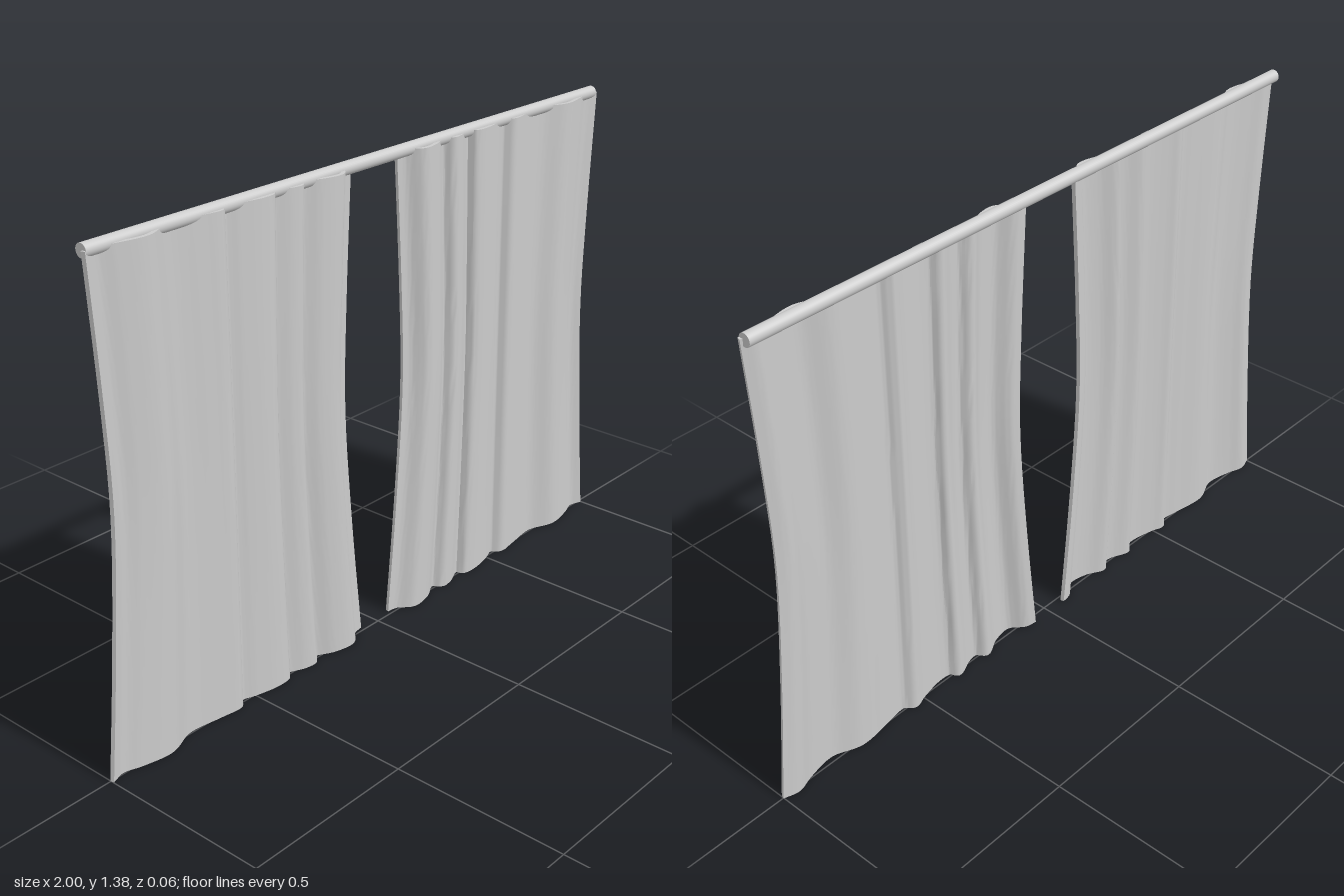
import * as THREE from 'three';
import { toCreasedNormals } from 'three/addons/utils/BufferGeometryUtils.js';

const HEIGHT = 1.36, THICK = 0.011, CENTRE = 0.53, SEGS = 140, ROWS = 20;

// Fold line of a panel along its top edge: x, z
const folds = new THREE.CatmullRomCurve3([
  [0.09, -0.018], [0.12, -0.012], [0.16, 0.021], [0.22, 0.013], [0.274, -0.013],
  [0.294, 0.011], [0.325, 0.009], [0.38, -0.012], [0.391, 0.009], [0.43, 0.014],
  [0.5, 0], [0.538, -0.012], [0.562, 0.010], [0.62, 0.004], [0.72, -0.008],
  [0.8, 0.021], [0.88, 0.008], [0.93, -0.008], [0.97, 0.004],
].map(([x, z]) => new THREE.Vector3(x, 0, z)), false, 'centripetal');

// Half width of a panel from hem to top: gathered in the middle
const waist = new THREE.SplineCurve([
  [0.47, 0], [0.434, 0.36], [0.411, 0.7], [0.419, 1.0], [0.44, HEIGHT],
].map(([w, y]) => new THREE.Vector2(w, y)));

function curtainGeometry(side) {
  // Closed outline: along the front face, back along the rear face
  const front = [], back = [];
  for (let i = 0; i <= SEGS; i++) {
    const p = folds.getPointAt(i / SEGS), t = folds.getTangentAt(i / SEGS);
    const dx = -t.z * THICK / 2, dz = t.x * THICK / 2;
    front.push([p.x + dx, p.z + dz]);
    back.push([p.x - dx, p.z - dz]);
  }
  const ring = [...front, ...back.reverse()];
  const n = ring.length, pos = [], idx = [];
  for (let j = 0; j <= ROWS; j++) {
    const w = waist.getPoint(j / ROWS);
    for (const [x, z] of ring) {
      pos.push(side * (CENTRE + (x - CENTRE) * w.x / 0.44), w.y, z);
    }
  }
  const quad = (a, b, c, d) => (side > 0
    ? idx.push(a, b, c, a, c, d)
    : idx.push(a, c, b, a, d, c));
  for (let j = 0; j < ROWS; j++) {
    for (let k = 0; k < n; k++) {
      const k2 = (k + 1) % n, r = j * n;
      quad(r + k, r + k2, r + n + k2, r + n + k);
    }
  }
  // Hem and top edge strips
  const top = ROWS * n;
  for (let i = 0; i < SEGS; i++) {
    quad(top + i, top + i + 1, top + n - 2 - i, top + n - 1 - i);
    quad(n - 1 - i, n - 2 - i, i + 1, i);
  }
  const g = new THREE.BufferGeometry();
  g.setAttribute('position', new THREE.Float32BufferAttribute(pos, 3));
  g.setIndex(idx);
  return toCreasedNormals(g, Math.PI / 3.5);
}

export function createModel() {
  const group = new THREE.Group();
  const material = new THREE.MeshStandardMaterial({ color: 0xcccccc });

  // Mirrored pair of curtains
  for (const side of [1, -1]) {
    const curtain = new THREE.Mesh(curtainGeometry(side), material);
    curtain.name = side > 0 ? 'leftCurtain' : 'rightCurtain';
    group.add(curtain);
  }

  // Rod across the top
  const rod = new THREE.Mesh(new THREE.CylinderGeometry(0.018, 0.018, 1.93, 32), material);
  rod.name = 'curtainRod';
  rod.rotation.z = Math.PI / 2;
  rod.position.set(0, 1.358, -0.009);
  group.add(rod);

  return group;
}
